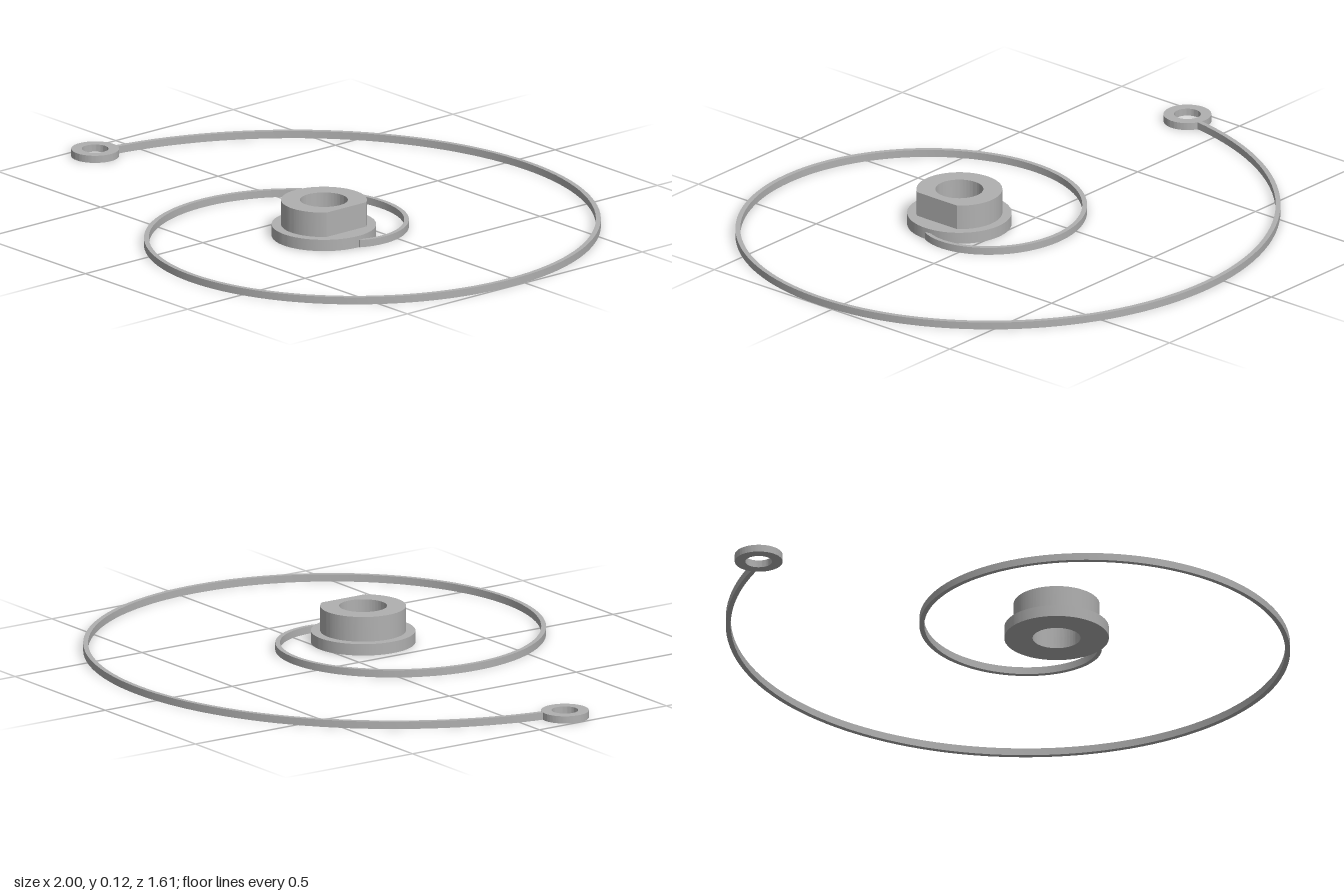
import * as THREE from 'three';
import { toCreasedNormals } from 'three/addons/utils/BufferGeometryUtils.js';

const HUB_X = 0.196, HUB_Z = 0.155;
const WIRE_HEIGHT = 0.024;

export function createModel() {
  const model = new THREE.Group();
  model.name = 'spiralSpring';
  const steel = new THREE.MeshStandardMaterial({ color: 0xb0b0b0 });
  steel.name = 'grey steel';

  // Extrude a plan outline upwards from height y
  function plate(name, shape, height, x, y, z) {
    const geometry = new THREE.ExtrudeGeometry(shape, {
      depth: height, bevelEnabled: false, curveSegments: 64,
    });
    geometry.rotateX(-Math.PI / 2);
    const mesh = new THREE.Mesh(toCreasedNormals(geometry, 0.5), steel);
    mesh.name = name;
    mesh.position.set(x, y, z);
    model.add(mesh);
  }

  // Disc with a central hole; cut is half the angle of a flat on the +x side
  function ring(outer, inner, cut = 0) {
    const shape = new THREE.Shape();
    shape.absarc(0, 0, outer, cut, Math.PI * 2 - cut, false);
    shape.closePath();
    const hole = new THREE.Path();
    hole.absarc(0, 0, inner, 0, Math.PI * 2, true);
    shape.holes.push(hole);
    return shape;
  }

  // Hub: round flange and a boss with one flat side
  plate('hubFlange', ring(0.168, 0.077), 0.038, HUB_X, 0, HUB_Z);
  plate('hubBoss', ring(0.138, 0.077, Math.acos(0.109 / 0.138)), 0.082, HUB_X, 0.038, HUB_Z);

  // Eyelet at the outer end
  plate('endEyelet', ring(0.077, 0.043), WIRE_HEIGHT, -0.923, 0, HUB_Z);

  // Flat spiral strip: one and a half turns, radius growing evenly
  const start = 0.02, end = Math.PI * 3 - 0.056, steps = 200;
  const edge = (offset) => Array.from({ length: steps + 1 }, (_, i) => {
    const angle = start + (end - start) * i / steps;
    const radius = 0.162 + 0.1 * angle + offset;
    return new THREE.Vector2(radius * Math.cos(angle), radius * Math.sin(angle));
  });
  const strip = new THREE.Shape([...edge(0.008), ...edge(-0.008).reverse()]);
  plate('spiralStrip', strip, WIRE_HEIGHT, HUB_X, 0, HUB_Z);

  return model;
}
